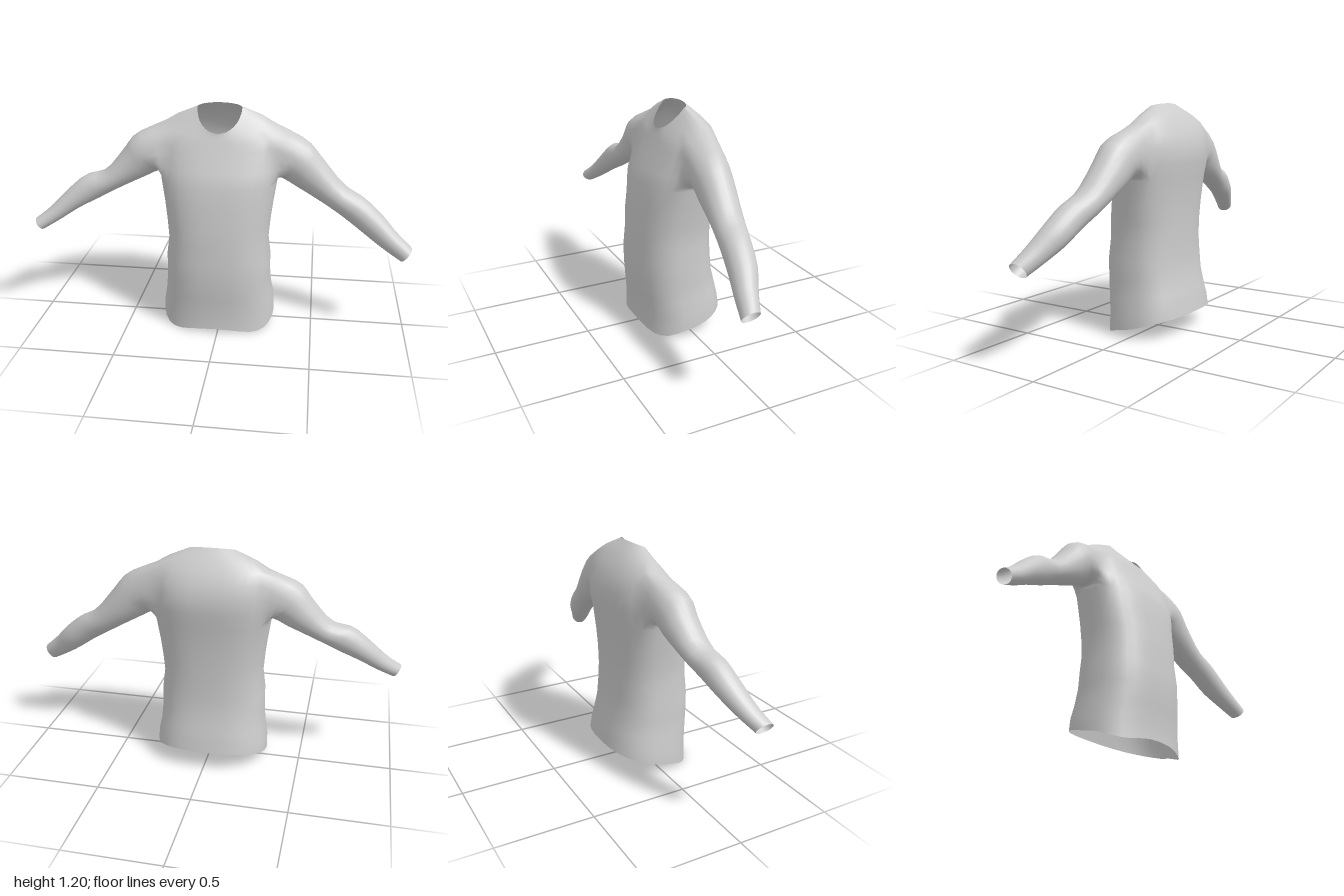
import * as THREE from 'three';

const COLS = 32;      // points around the body
const HOLE = 3;       // armhole half width, in columns
const ROW0 = 8, ROW1 = 12; // armhole bottom and top rows
const STEPS = 18;     // rings along a sleeve

// Body rings, hem to neckline: ySide, yFront, yBack, halfWidth, zFront, zBack, zSide
const BODY = [
  [0.05, 0.025, 0.115, 0.305, 0.22, -0.23, 0],
  [0.12, 0.1, 0.17, 0.303, 0.216, -0.22, 0],
  [0.2, 0.2, 0.23, 0.288, 0.226, -0.208, 0.01],
  [0.3, 0.3, 0.31, 0.28, 0.235, -0.187, 0.015],
  [0.4, 0.4, 0.4, 0.28, 0.233, -0.177, 0.02],
  [0.5, 0.5, 0.5, 0.267, 0.225, -0.175, 0.02],
  [0.6, 0.6, 0.6, 0.275, 0.22, -0.175, 0.015],
  [0.7, 0.7, 0.7, 0.287, 0.203, -0.18, 0.01],
  [0.82, 0.81, 0.82, 0.305, 0.19, -0.19, 0],
  [0.9, 0.88, 0.9, 0.31, 0.162, -0.206, -0.01],
  [0.97, 0.94, 0.98, 0.31, 0.135, -0.206, -0.015],
  [1.04, 0.985, 1.05, 0.31, 0.115, -0.185, -0.02],
  [1.105, 1.02, 1.105, 0.293, 0.1, -0.152, -0.025],
  [1.145, 1.045, 1.15, 0.225, 0.09, -0.118, -0.025],
  [1.172, 1.06, 1.18, 0.16, 0.083, -0.088, -0.022],
  [1.19, 1.075, 1.205, 0.115, 0.08, -0.06, -0.02],
];

// Sleeve stations, shoulder to cuff: x, y, z, radius across, radius in z
const LEFT = [
  [0.37, 0.93, -0.015, 0.122, 0.1],
  [0.46, 0.86, -0.013, 0.1, 0.092],
  [0.6, 0.745, 0.0, 0.07, 0.08],
  [0.7, 0.685, 0.02, 0.073, 0.074],
  [0.8, 0.607, 0.04, 0.068, 0.07],
  [0.88, 0.54, 0.07, 0.056, 0.058],
  [0.97, 0.475, 0.1, 0.045, 0.046],
];
const RIGHT = [
  [-0.39, 0.94, -0.015, 0.118, 0.1],
  [-0.47, 0.88, -0.013, 0.093, 0.09],
  [-0.6, 0.785, 0.005, 0.06, 0.077],
  [-0.7, 0.745, 0.02, 0.072, 0.07],
  [-0.8, 0.68, 0.04, 0.058, 0.066],
  [-0.9, 0.602, 0.075, 0.043, 0.054],
  [-0.98, 0.55, 0.107, 0.036, 0.046],
];

const power = (v, e) => Math.sign(v) * Math.abs(v) ** e;
const column = (j) => (j + COLS) % COLS;

function bodyPoint(row, j) {
  const [yS, yF, yB, w, zF, zB, zS] = BODY[row];
  const a = (j / COLS) * Math.PI * 2;
  const e = row < ROW1 ? 0.8 : 0.8 + 0.2 * (row - ROW1) / (BODY.length - 1 - ROW1);
  const c = power(Math.cos(a), e), s = power(Math.sin(a), e);
  const k = Math.abs(s);
  let y = yS + ((s > 0 ? yF : yB) - yS) * k;
  // scalloped front hem
  if (row === 0 && s > 0) y -= 0.028 * Math.sin(2 * a) ** 2;
  return new THREE.Vector3(-0.014 + w * c, y, zS + ((s > 0 ? zF : zB) - zS) * k);
}

// Grid indices around an armhole: along the bottom, up the front, back over the top, down the back
function armholeLoop(side) {
  const at = (row, k) => row * COLS + column(side > 0 ? k : COLS / 2 - k);
  const loop = [];
  for (let k = -HOLE; k < HOLE; k++) loop.push(at(ROW0, k));
  for (let r = ROW0; r < ROW1; r++) loop.push(at(r, HOLE));
  for (let k = HOLE; k > -HOLE; k--) loop.push(at(ROW1, k));
  for (let r = ROW1; r > ROW0; r--) loop.push(at(r, -HOLE));
  return loop;
}

// Point of a sleeve station, on a ring square to the arm
function stationPoint(stations, n, angle, side) {
  const [x, y, z, r, rz] = stations[n];
  const p = stations[Math.max(n - 1, 0)], q = stations[Math.min(n + 1, stations.length - 1)];
  const d = new THREE.Vector2(q[0] - p[0], q[1] - p[1]).normalize();
  const v = r * Math.sin(angle);
  return new THREE.Vector3(x - d.y * v * side, y + d.x * v * side, z + rz * Math.cos(angle));
}

export function createModel() {
  const points = [];

  // Body grid, left open at the armholes
  const body = [];
  for (let r = 0; r < BODY.length; r++) {
    for (let j = 0; j < COLS; j++) points.push(bodyPoint(r, j));
  }
  for (let r = 0; r < BODY.length - 1; r++) {
    for (let j = 0; j < COLS; j++) {
      const nearest = Math.min(j + 0.5, COLS - j - 0.5, Math.abs(j + 0.5 - COLS / 2));
      if (r >= ROW0 && r < ROW1 && nearest < HOLE) continue;
      const a = r * COLS + j, b = r * COLS + column(j + 1);
      body.push(a, a + COLS, b, b, a + COLS, b + COLS);
    }
  }

  // Sleeve lofted from the armhole to the open cuff
  function sleeve(stations, side) {
    const loop = armholeLoop(side), n = loop.length;
    const curves = loop.map((id, i) => {
      const angle = -Math.PI / 2 + ((i - HOLE) / n) * Math.PI * 2;
      return new THREE.CatmullRomCurve3(
        [points[id], ...stations.map((_, k) => stationPoint(stations, k, angle, side))]);
    });
    const index = [];
    let ring = loop;
    for (let k = 1; k <= STEPS; k++) {
      const next = curves.map((c) => points.push(c.getPoint(k / STEPS)) - 1);
      for (let i = 0; i < n; i++) {
        const m = (i + 1) % n;
        const quad = [ring[i], next[i], ring[m], ring[m], next[i], next[m]];
        index.push(...(side > 0 ? quad : quad.reverse()));
      }
      ring = next;
    }
    return index;
  }

  const parts = { body, leftSleeve: sleeve(LEFT, 1), rightSleeve: sleeve(RIGHT, -1) };

  // Normals are computed over the whole shirt so the armholes shade smoothly
  const whole = new THREE.BufferGeometry().setFromPoints(points);
  whole.setIndex(Object.values(parts).flat());
  whole.computeVertexNormals();

  const cloth = new THREE.MeshStandardMaterial({ color: 0xcccccc, side: THREE.DoubleSide });
  const shirt = new THREE.Group();
  shirt.name = 'longSleevedShirt';
  for (const [name, index] of Object.entries(parts)) {
    const geometry = new THREE.BufferGeometry();
    geometry.setAttribute('position', whole.attributes.position);
    geometry.setAttribute('normal', whole.attributes.normal);
    geometry.setIndex(index);
    const mesh = new THREE.Mesh(geometry, cloth);
    mesh.name = name;
    shirt.add(mesh);
  }
  return shirt;
}
